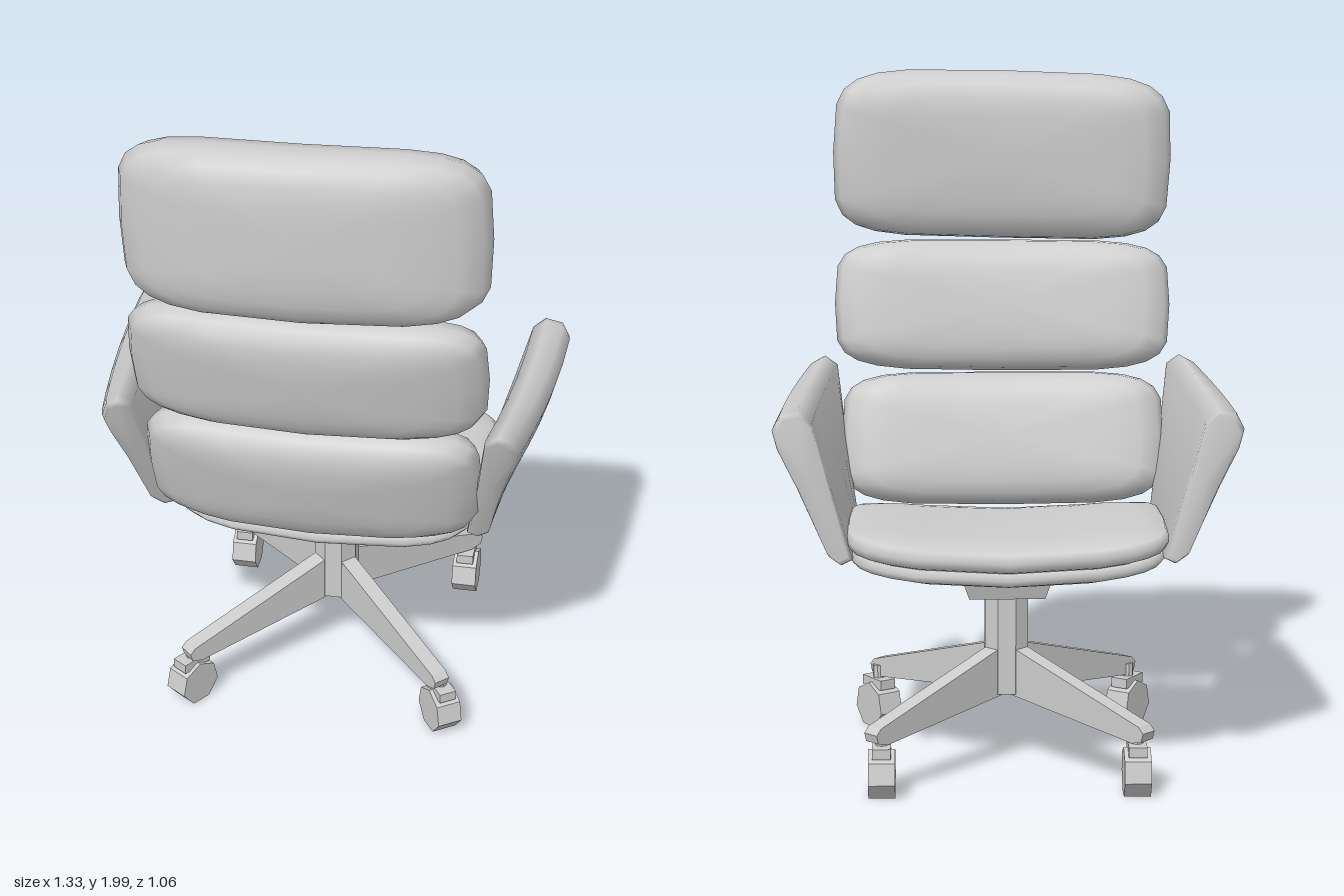
import * as THREE from 'three';

const grey = new THREE.MeshStandardMaterial({ color: 0xcccccc });
grey.name = 'light grey';
const greyFlat = grey.clone();
greyFlat.flatShading = true;

// Skin a stack of closed rings (counter-clockwise about the stacking direction), capped at both ends
function loft(rings) {
  const n = rings[0].length, pos = rings.flat(2), idx = [];
  for (let i = 0; i < rings.length - 1; i++) {
    for (let j = 0; j < n; j++) {
      const a = i * n + j, b = i * n + (j + 1) % n;
      idx.push(a, b, b + n, a, b + n, a + n);
    }
  }
  for (const end of [0, rings.length - 1]) {
    const centre = pos.length / 3;
    for (let k = 0; k < 3; k++) pos.push(rings[end].reduce((s, p) => s + p[k], 0) / n);
    for (let j = 0; j < n; j++) {
      const a = end * n + j, b = end * n + (j + 1) % n;
      if (end === 0) idx.push(centre, b, a);
      else idx.push(centre, a, b);
    }
  }
  const g = new THREE.BufferGeometry();
  g.setAttribute('position', new THREE.Float32BufferAttribute(pos, 3));
  g.setIndex(idx);
  g.computeVertexNormals();
  return g;
}

// Puffed rounded rectangle, half sizes a, b, c, bowed in z by "bend" at its ends
function cushion(a, b, c, bend) {
  const pw = (v, e) => Math.sign(v) * Math.abs(v) ** e;
  const rings = [];
  for (const deg of [-85, -72, -57, -40, -20, 0, 20, 40, 57, 72, 85]) {
    const phi = deg * Math.PI / 180;
    const s = Math.cos(phi) ** 0.6, d = pw(Math.sin(phi), 0.7);
    const ring = [];
    for (let j = 0; j < 24; j++) {
      const t = j / 24 * Math.PI * 2;
      const x = a * s * pw(Math.cos(t), 0.42), y = b * s * pw(Math.sin(t), 0.42);
      ring.push([x, y, c * d + bend * (x / a) ** 2]);
    }
    rings.push(ring);
  }
  return loft(rings);
}

// Armrest: a flared section lofted from its front end to its slanted back end
function armrest(side) {
  const front = [[.44, .66], [.47, .645], [.505, .67], [.595, .87], [.65, .98], [.663, 1.03], [.64, 1.075], [.59, 1.085], [.55, 1.05], [.50, .87]];
  const back = [[.435, .66], [.465, .645], [.50, .67], [.545, .87], [.583, 1.0], [.595, 1.06], [.575, 1.115], [.54, 1.135], [.50, 1.11], [.47, .89]];
  const steps = [[0, .88], [.02, .97], [.05, 1], [.25, 1], [.45, 1], [.65, 1], [.82, 1], [.94, 1], [.98, .96], [1, .86]];
  const rings = steps.map(([t, s]) => {
    const e = t * t;
    const ring = front.map((p, i) => {
      let x = p[0] + (back[i][0] - p[0]) * e, y = p[1] + (back[i][1] - p[1]) * e;
      const zBack = 0.2 + (y - 0.65) * 0.43;
      const cx = 0.545 - 0.02 * e, cy = 0.885 + 0.02 * e;
      x = cx + (x - cx) * s;
      y = cy + (y - cy) * (1 - (1 - s) * 0.5);
      return [side * x, y, -0.378 + (zBack + 0.378) * t];
    });
    return side > 0 ? ring : ring.reverse();
  });
  return loft(rings);
}

export function createModel() {
  const model = new THREE.Group();
  model.name = 'officeChair';
  const add = (name, geo, mat, x = 0, y = 0, z = 0, parent = model) => {
    const m = new THREE.Mesh(geo, mat);
    m.name = name;
    m.position.set(x, y, z);
    parent.add(m);
    return m;
  };

  // Three stacked back cushions
  add('headCushion', cushion(.51, .254, .097, -.045), grey, 0, 1.738, .435).rotation.set(-.01, 0, .025);
  add('middleCushion', cushion(.508, .2, .085, -.045), grey, 0, 1.282, .4).rotation.set(.2, 0, .008);
  add('lumbarCushion', cushion(.487, .203, .088, -.045), grey, 0, .885, .315).rotation.x = .27;

  // Seat shell and pad
  add('seatShell', cushion(.462, .338, .038, .045), grey, 0, .613, -.098).rotation.x = -Math.PI / 2;
  add('seatPad', cushion(.472, .325, .052, .045), grey, 0, .662, -.12).rotation.x = -Math.PI / 2;

  // Armrests
  add('leftArmrest', armrest(1), grey);
  add('rightArmrest', armrest(-1), grey);

  // Swivel base
  const base = new THREE.Group();
  base.name = 'swivelBase';
  base.position.z = -.097;
  model.add(base);
  const plate = new THREE.CylinderGeometry(.19, .155, .075, 4);
  plate.rotateY(Math.PI / 4);
  add('seatMount', plate, greyFlat, 0, .545, 0, base);
  const column = new THREE.CylinderGeometry(.068, .068, .31, 8);
  column.rotateY(Math.PI / 8);
  add('column', column, greyFlat, 0, .365, 0, base);

  // Four tapered legs
  const profile = new THREE.Shape([[0, .21], [.51, .155], [.545, .165], [.552, .19], [.535, .207], [.06, .345], [0, .345]]
    .map(p => new THREE.Vector2(...p)));
  const legGeo = new THREE.ExtrudeGeometry(profile, { depth: .05, bevelEnabled: false });
  legGeo.translate(0, 0, -.025);
  for (let i = 0; i < 4; i++) {
    add('leg', legGeo, greyFlat, 0, 0, 0, base).rotation.y = Math.PI / 4 + i * Math.PI / 2;
  }

  // Casters, the +z pair swivelled
  const wheel = new THREE.CylinderGeometry(.071, .071, .076, 7, 1, false, Math.PI / 2);
  wheel.rotateZ(Math.PI / 2);
  const stem = new THREE.CylinderGeometry(.018, .018, .06, 8);
  const bracket = new THREE.BoxGeometry(.052, .03, .1);
  for (const side of [-1, 1]) {
    for (const [x, z, yaw] of [[.36, -.455, 0], [.382, .26, .6]]) {
      const caster = new THREE.Group();
      caster.name = 'caster';
      caster.position.set(side * x, 0, z);
      caster.rotation.y = side * yaw;
      add('wheel', wheel, greyFlat, 0, .067, 0, caster);
      add('bracket', bracket, greyFlat, 0, .136, 0, caster);
      add('stem', stem, greyFlat, 0, .16, 0, caster);
      model.add(caster);
    }
  }
  return model;
}
